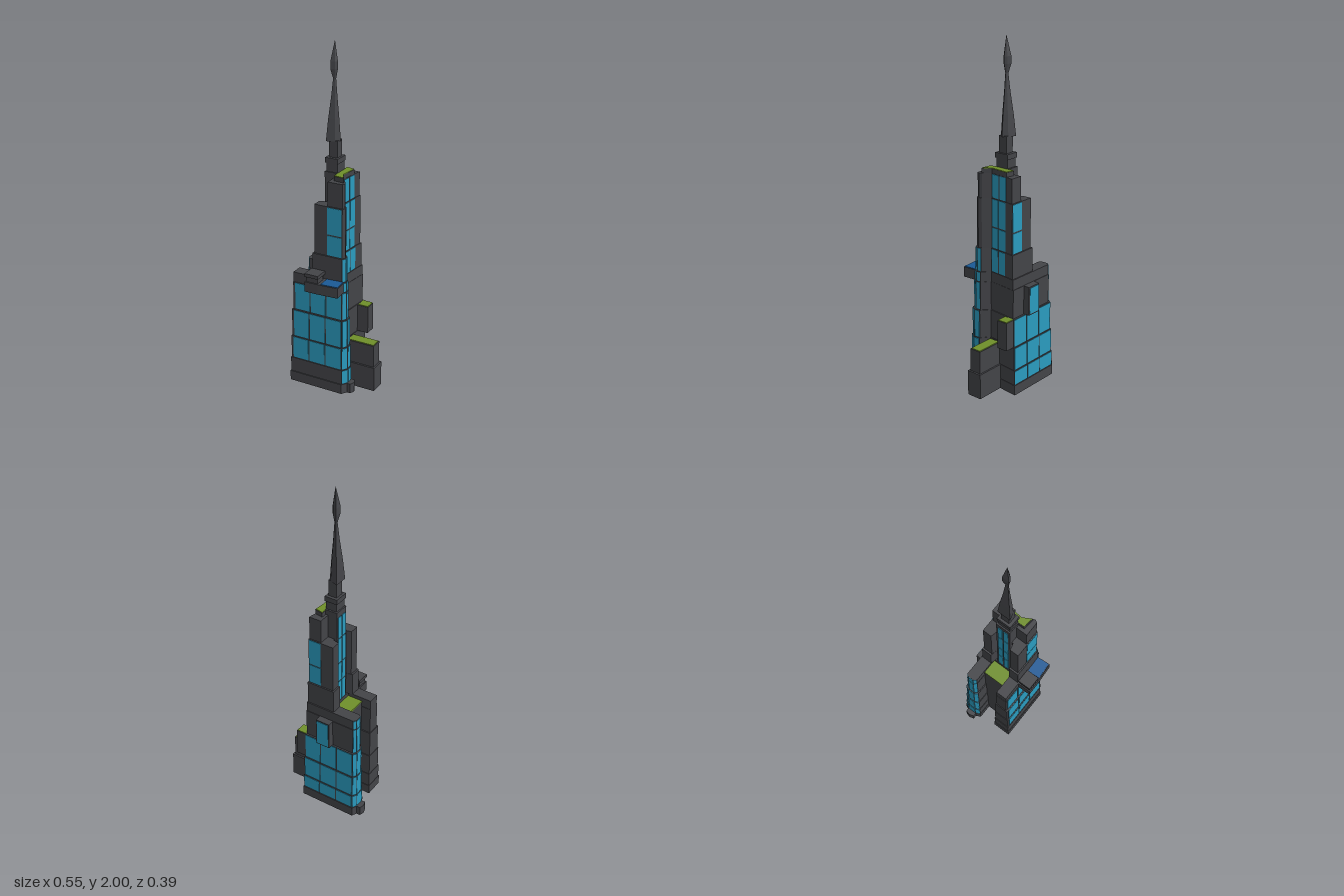
import * as THREE from 'three';

const mat = (color) => new THREE.MeshStandardMaterial({ color, flatShading: true, roughness: 0.8 });

export function createModel() {
  const root = new THREE.Group();
  root.name = 'tower';
  const wall = mat(0x434448), glass = mat(0x2a9bbf), grass = mat(0x6f8f2a), water = mat(0x1b5a96);

  // Upright prism over a footprint of [x, z] corners
  const prism = (name, pts, y0, y1, material = wall) => {
    const shape = new THREE.Shape(pts.map(([x, z]) => new THREE.Vector2(x, -z)));
    const geo = new THREE.ExtrudeGeometry(shape, { depth: y1 - y0, bevelEnabled: false });
    geo.rotateX(-Math.PI / 2).translate(0, y0, 0);
    const mesh = new THREE.Mesh(geo, material);
    mesh.name = name;
    root.add(mesh);
    return mesh;
  };
  const rect = (x0, x1, z0, z1) => [[x0, z0], [x1, z0], [x1, z1], [x0, z1]];

  // Row of window panes standing slightly proud of the wall from a to b
  const windows = (a, b, y0, y1, columns = 1, gap = 0.008) => {
    const dx = b[0] - a[0], dz = b[1] - a[1];
    const width = Math.hypot(dx, dz) / columns;
    for (let i = 0; i < columns; i++) {
      const f = (i + 0.5) / columns;
      const pane = new THREE.Mesh(new THREE.BoxGeometry(width - gap, y1 - y0 - gap, 0.005), glass);
      pane.position.set(a[0] + dx * f, (y0 + y1) / 2, a[1] + dz * f);
      pane.rotation.y = -Math.atan2(dz, dx);
      pane.name = 'windowPane';
      root.add(pane);
    }
  };

  // Footprints shrink from the ground plan (t = 0) to the top plan (t = 1)
  const mix = (a, b, t) => a.map((p, i) => [p[0] + (b[i][0] - p[0]) * t, p[1] + (b[i][1] - p[1]) * t]);
  const eastSide = (t) => mix(
    [[0.115, -0.185], [0.105, -0.095], [0.09, 0.02], [0.145, 0.06], [0.147, 0.105], [0.122, 0.143]],
    [[0.085, -0.135], [0.076, -0.09], [0.068, 0.02], [0.102, 0.062], [0.108, 0.08], [0.1, 0.095]], t);
  const westSide = (t) => mix(
    [[-0.215, 0.143], [-0.215, 0.03], [-0.05, 0.03], [-0.05, -0.07],
      [-0.23, -0.07], [-0.245, -0.1], [-0.245, -0.155], [-0.23, -0.185]],
    [[-0.19, 0.095], [-0.19, 0.06], [-0.05, 0.06], [-0.05, -0.1],
      [-0.2, -0.1], [-0.212, -0.11], [-0.212, -0.13], [-0.2, -0.135]], t);

  // Lower tiers: two long wings joined in a U
  const lower = [[0, 0.06, 0], [0.06, 0.15, 0.1], [0.15, 0.29, 0.2], [0.29, 0.46, 0.32],
    [0.46, 0.63, 0.52], [0.63, 0.69, 0.58]];
  lower.forEach(([y0, y1, t], i) => {
    const e = eastSide(t), w = westSide(t);
    prism('lowerTier', [...e, ...w], y0, y1);
    if (i === 0) return;
    if (i < 4) windows(w[7], e[0], y0, y1, 3);
    if (i > 1 && i < 5) windows([w[0][0] + 0.01, w[0][1]], e[5], y0, y1, 3);
    for (const k of [3, 4]) windows(e[k], e[k + 1], y0, y1);
    for (const k of [4, 5, 6]) windows(w[k], w[k + 1], y0, y1, 1, 0.005);
  });

  // Low porches at the rounded wing ends
  prism('westPorch', [[-0.23, -0.155], [-0.267, -0.155], [-0.275, -0.128], [-0.267, -0.098], [-0.23, -0.098]], 0, 0.06);
  prism('eastPorch', [[0.13, 0.055], [0.163, 0.055], [0.175, 0.083], [0.163, 0.112], [0.13, 0.112]], 0, 0.06);

  // Green terrace between the wings
  prism('westTerrace', rect(-0.142, -0.04, -0.087, 0.047), 0, 0.66);
  prism('westTerraceGrass', rect(-0.142, -0.04, -0.087, 0.047), 0.66, 0.668, grass);

  // East wing with a planted roof
  prism('eastWingBase', rect(0.08, 0.273, -0.066, 0.026), 0, 0.15);
  prism('eastWing', rect(0.08, 0.262, -0.056, 0.016), 0.15, 0.285);
  prism('eastWingGrass', rect(0.098, 0.258, -0.051, 0.011), 0.285, 0.289, grass);

  // Bay hanging off the east wall
  prism('eastBay', rect(0.09, 0.165, -0.166, -0.1), 0.29, 0.457);
  prism('eastBayGrass', rect(0.102, 0.162, -0.163, -0.103), 0.457, 0.461, grass);

  // Bay hanging off the back wall
  prism('backBay', rect(-0.08, 0.008, -0.197, -0.12), 0.46, 0.63);
  windows([-0.08, -0.197], [0.008, -0.197], 0.46, 0.63, 1, 0.014);

  // Front balcony with pool and roof hut
  prism('balcony', [[-0.082, 0.09], [0.115, 0.09], [0.122, 0.187], [0.0, 0.195], [-0.082, 0.195]], 0.63, 0.69);
  prism('pool', [[0.014, 0.114], [0.113, 0.106], [0.118, 0.183], [0.016, 0.19]], 0.69, 0.694, water);
  prism('hutWalls', rect(-0.076, -0.004, 0.125, 0.188), 0.69, 0.72);
  prism('hutRoof', rect(-0.082, 0.002, 0.115, 0.195), 0.72, 0.74);

  // Upper tiers: [bottom, top, plan, west edge]
  const upper = [[0.69, 0.83, 0.72, -0.08], [0.83, 1.12, 0.88, -0.07], [1.12, 1.26, 1, 0.01]];
  upper.forEach(([y0, y1, t, x], i) => {
    const e = eastSide(t);
    const zb = e[0][1], zf = e[5][1];
    const notch = x < -0.03 ? [[x, 0.045], [-0.03, 0.035], [-0.03, -0.075], [x, -0.085]] : [];
    prism('upperTier', [...e, [x, zf], ...notch, [x, zb]], y0, y1);
    const rows = i === 1 ? [[0.83, 0.955], [0.955, 1.12]] : [[y0, y1]];
    for (const [r0, r1] of rows) {
      windows(e[1], e[2], r0, r1, 2);
      windows([-0.047, -0.058], [-0.047, 0.018], r0, r1, 2);
      if (i === 1) {
        windows([0.005, zf], e[5], r0, r1);
        windows([0.005, zb], e[0], r0, r1);
      }
      if (i === 0) for (const k of [3, 4]) windows(e[k], e[k + 1], r0, r1, 1, 0.005);
    }
  });

  // Crown with a planted roof
  const crown = [[0.025, -0.1], [0.076, -0.09], [0.066, 0.02], [0.096, 0.07], [0.03, 0.062]];
  prism('crown', crown, 1.26, 1.285);
  prism('crownGrass', crown.map(([x, z]) => [0.05 + (x - 0.05) * 0.94, z * 0.97]), 1.285, 1.289, grass);

  // Central shaft and stepped neck
  prism('shaft', rect(-0.046, 0.03, -0.066, 0.026), 0.66, 1.29);
  prism('neckBase', rect(-0.038, 0.03, -0.056, 0.02), 1.29, 1.34);
  prism('neckCollar', rect(-0.044, 0.034, -0.062, 0.026), 1.34, 1.37);
  prism('neck', rect(-0.03, 0.022, -0.044, 0.008), 1.37, 1.465);

  // Spire: a five-cornered section scaled along its height
  const section = [[-0.033, -0.041], [0.014, -0.026], [0.036, 0], [0.014, 0.026], [-0.033, 0.041]];
  const profile = [[1.46, 1], [1.58, 0.75], [1.7, 0.42], [1.8, 0.2], [1.85, 0.5], [1.89, 0.5], [2, 0.01]];
  const n = section.length, pos = [], index = [];
  for (const [y, s] of profile) for (const [x, z] of section) pos.push(x * s - 0.007, y, z * s - 0.018);
  for (let r = 0; r < profile.length - 1; r++) {
    for (let i = 0; i < n; i++) {
      const a = r * n + i, b = r * n + (i + 1) % n;
      index.push(a, a + n, b, b, a + n, b + n);
    }
  }
  for (let i = 1; i < n - 1; i++) index.push(0, i, i + 1);
  const geo = new THREE.BufferGeometry();
  geo.setAttribute('position', new THREE.Float32BufferAttribute(pos, 3));
  geo.setIndex(index);
  const spireGeo = geo.toNonIndexed();
  spireGeo.computeVertexNormals();
  const spire = new THREE.Mesh(spireGeo, wall);
  spire.name = 'spire';
  root.add(spire);

  return root;
}
